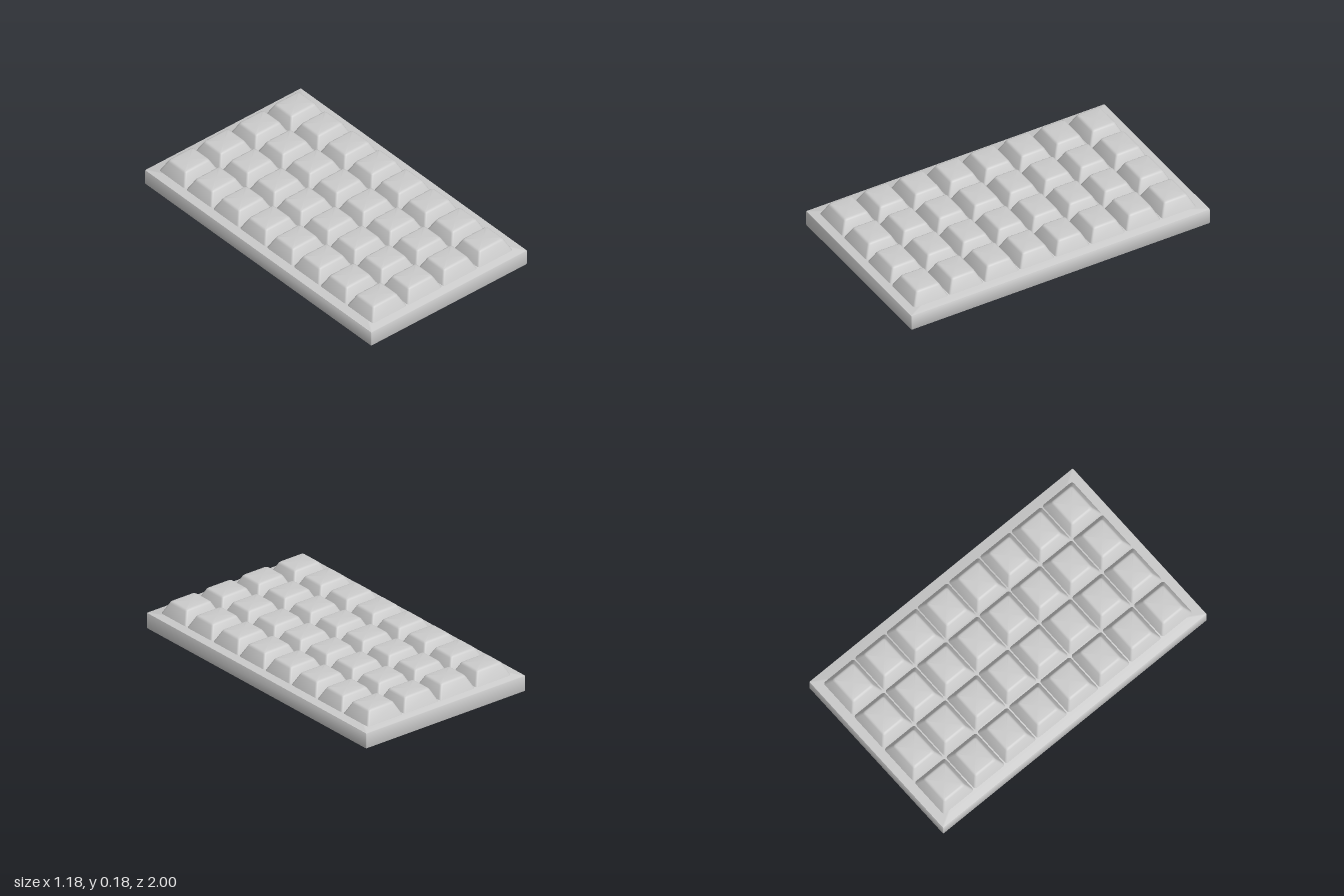
import * as THREE from 'three';
import { toCreasedNormals } from 'three/addons/utils/BufferGeometryUtils.js';

// Closed solid stacked from rounded rectangles; levels are [inset, y] from bottom to top
function stackedSlab(halfX, halfZ, radius, levels, cornerSteps = 3) {
  const pos = [], idx = [];
  const n = 4 * (cornerSteps + 1);
  for (const [inset, y] of levels) {
    for (let c = 0; c < 4; c++) {
      const sx = c === 0 || c === 3 ? 1 : -1;
      const sz = c < 2 ? 1 : -1;
      for (let s = 0; s <= cornerSteps; s++) {
        const a = (c + s / cornerSteps) * Math.PI / 2;
        pos.push(
          sx * (halfX - inset - radius) + radius * Math.cos(a), y,
          sz * (halfZ - inset - radius) + radius * Math.sin(a));
      }
    }
  }
  // side walls
  for (let l = 0; l < levels.length - 1; l++) {
    for (let i = 0; i < n; i++) {
      const a = l * n + i, b = l * n + (i + 1) % n;
      idx.push(a, a + n, b, b, a + n, b + n);
    }
  }
  // bottom and top caps
  const last = (levels.length - 1) * n, centre = levels.length * n;
  pos.push(0, levels[0][1], 0, 0, levels.at(-1)[1], 0);
  for (let i = 0; i < n; i++) {
    const j = (i + 1) % n;
    idx.push(centre, i, j, centre + 1, last + j, last + i);
  }
  const geo = new THREE.BufferGeometry();
  geo.setAttribute('position', new THREE.Float32BufferAttribute(pos, 3));
  geo.setIndex(idx);
  return toCreasedNormals(geo, 0.6);
}

export function createModel() {
  const group = new THREE.Group();
  group.name = 'chocolateBar';
  const material = new THREE.MeshStandardMaterial({ color: 0xcccccc });

  // flat slab with slightly softened edges
  const base = new THREE.Mesh(
    stackedSlab(0.59, 1, 0.006, [[0.005, 0], [0.0015, 0.0015], [0, 0.005], [0, 0.095], [0.0015, 0.0985], [0.005, 0.1]]),
    material);
  base.name = 'base';
  group.add(base);

  // 4 x 8 tapered pieces with rounded top edges
  const pieceGeo = stackedSlab(0.13, 0.115, 0.015,
    [[0, 0.098], [0.001, 0.102], [0.034, 0.169], [0.038, 0.176], [0.044, 0.1805], [0.052, 0.182]]);
  const pieces = new THREE.Group();
  pieces.name = 'pieces';
  for (let row = 0; row < 8; row++) {
    for (let col = 0; col < 4; col++) {
      const piece = new THREE.Mesh(pieceGeo, material);
      piece.name = `piece_${row + 1}_${col + 1}`;
      piece.position.set((col - 1.5) * 0.267, 0, (row - 3.5) * 0.237);
      pieces.add(piece);
    }
  }
  group.add(pieces);
  return group;
}
